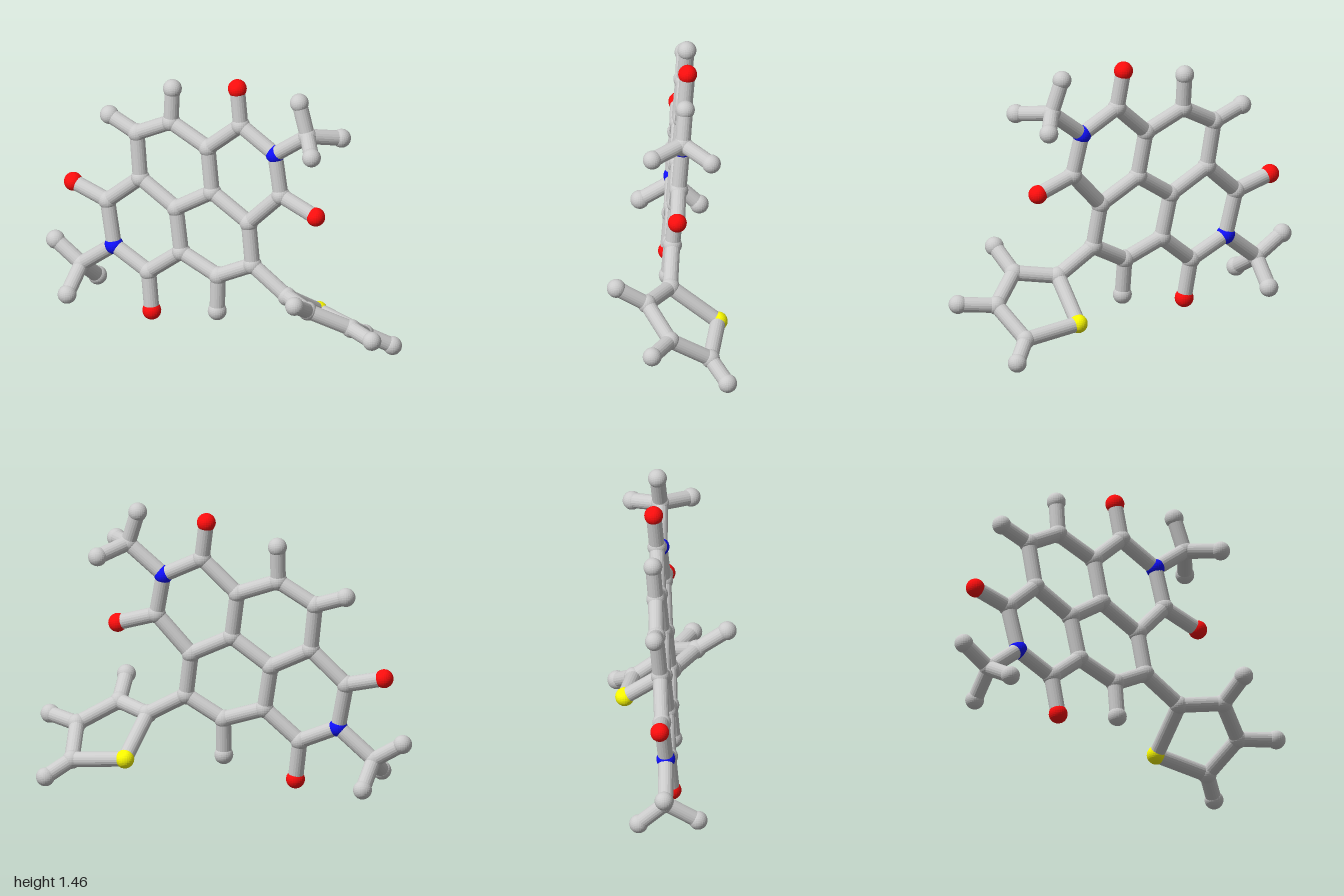
import * as THREE from 'three';

const BALL = 0.048, ROD = 0.039;
const COLORS = { C: 0xcccccc, H: 0xcccccc, O: 0xff0d0d, N: 0x1010ff, S: 0xffff00 };
const NAMES = { C: 'carbon', H: 'hydrogen', O: 'oxygen', N: 'nitrogen', S: 'sulfur' };

// The fused rings lie in one slightly tilted plane
const planeZ = (x, y) => -0.0625 + 0.0484 * (x + 0.155) - 0.08 * (y - 0.735);

// Atoms: element, x, y and, when off the ring plane, z
const ATOMS = {
  // upper imide end
  c1: ['C', 0.095, 1.205], o1: ['O', 0.067, 1.4], n1: ['N', 0.302, 1.1],
  c2: ['C', 0.345, 0.885], o2: ['O', 0.553, 0.82],
  // fused ring core
  c3: ['C', -0.09, 1.035], c4: ['C', -0.055, 0.8], c5: ['C', 0.165, 0.69],
  c6: ['C', 0.197, 0.465], c7: ['C', 0, 0.355], c8: ['C', -0.22, 0.43],
  c9: ['C', -0.26, 0.66], c10: ['C', -0.475, 0.77], c11: ['C', -0.505, 1.01],
  c12: ['C', -0.31, 1.12],
  h7: ['H', 0.003, 0.163], h11: ['H', -0.67, 1.067], h12: ['H', -0.31, 1.303],
  // lower imide end
  c13: ['C', -0.66, 0.6], o13: ['O', -0.863, 0.65], n2: ['N', -0.612, 0.367],
  c14: ['C', -0.405, 0.275], o14: ['O', -0.377, 0.068],
  // upper methyl
  m1: ['C', 0.49, 1.25, -0.065], m1a: ['H', 0.435, 1.42, -0.08],
  m1b: ['H', 0.597, 1.227, 0.093], m1c: ['H', 0.61, 1.205, -0.205],
  // lower methyl
  m2: ['C', -0.8, 0.212, -0.06], m2a: ['H', -0.955, 0.307, -0.07],
  m2b: ['H', -0.795, 0.113, 0.105], m2c: ['H', -0.78, 0.088, -0.195],
  // twisted five-sided ring
  t1: ['C', 0.405, 0.345, -0.005], t2: ['C', 0.59, 0.365, 0.12], t3: ['C', 0.78, 0.262, 0.01],
  t4: ['C', 0.748, 0.13, -0.195], s: ['S', 0.455, 0.168, -0.245],
  ht2: ['H', 0.597, 0.465, 0.275], ht3: ['H', 0.95, 0.275, 0.107], ht4: ['H', 0.863, 0.052, -0.278],
};

// Chains of bonded atoms
const CHAINS = [
  'c1 n1 c2 c5 c4 c3 c1', 'c1 o1', 'c2 o2',
  'c3 c12 c11 c10 c9 c4', 'c12 h12', 'c11 h11',
  'c5 c6 c7 c8 c9', 'c7 h7',
  'c10 c13 n2 c14 c8', 'c13 o13', 'c14 o14',
  'n1 m1 m1a', 'm1b m1 m1c', 'n2 m2 m2a', 'm2b m2 m2c',
  'c6 t1 t2 t3 t4 s t1', 't2 ht2', 't3 ht3', 't4 ht4',
];

export function createModel() {
  const model = new THREE.Group();
  model.name = 'molecule';
  const atoms = new THREE.Group(), bonds = new THREE.Group();
  atoms.name = 'atoms';
  bonds.name = 'bonds';
  model.add(atoms, bonds);

  const materials = {};
  for (const e in COLORS) {
    materials[e] = new THREE.MeshStandardMaterial({ color: COLORS[e], flatShading: true });
  }

  // Atom balls
  const ball = new THREE.SphereGeometry(BALL, 24, 16);
  const at = {};
  for (const [id, [element, x, y, z = planeZ(x, y)]] of Object.entries(ATOMS)) {
    at[id] = new THREE.Vector3(x, y, z);
    const mesh = new THREE.Mesh(ball, materials[element]);
    mesh.name = NAMES[element] + 'Atom';
    mesh.position.copy(at[id]);
    atoms.add(mesh);
  }

  // Bond rods, one unit long and stretched between atom centres
  const rod = new THREE.CylinderGeometry(ROD, ROD, 1, 20, 1, true);
  const up = new THREE.Vector3(0, 1, 0);
  for (const chain of CHAINS) {
    const ids = chain.split(' ');
    for (let i = 1; i < ids.length; i++) {
      const a = at[ids[i - 1]], b = at[ids[i]];
      const dir = b.clone().sub(a), length = dir.length();
      const mesh = new THREE.Mesh(rod, materials.C);
      mesh.name = 'bond';
      mesh.position.copy(a).lerp(b, 0.5);
      mesh.quaternion.setFromUnitVectors(up, dir.normalize());
      mesh.scale.y = length;
      bonds.add(mesh);
    }
  }
  return model;
}
